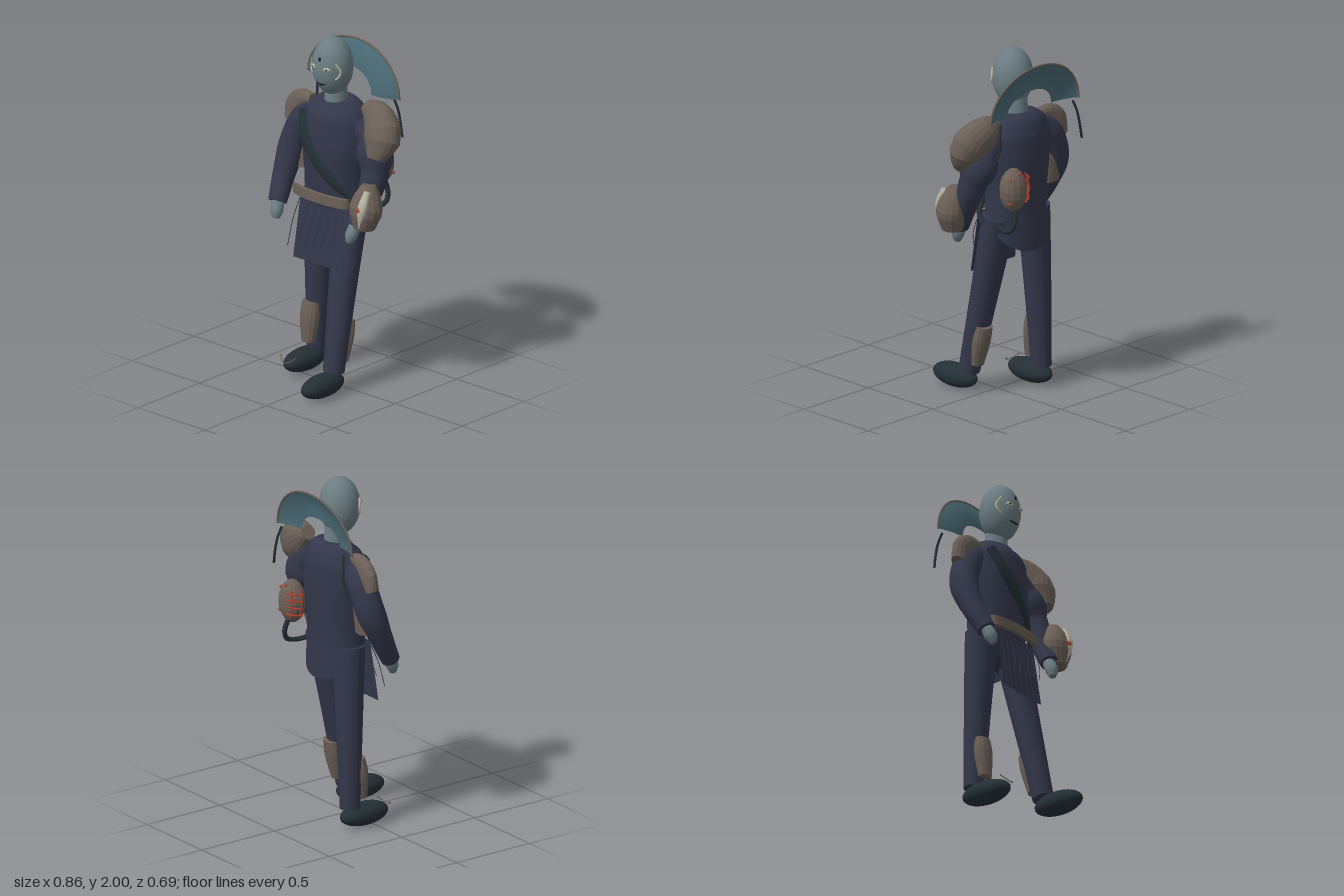
import * as THREE from 'three';

const V = (p) => new THREE.Vector3(...p);
const mat = (color, flatShading = false) =>
  new THREE.MeshStandardMaterial({ color, flatShading, side: THREE.DoubleSide });
const navy = mat(0x33374a), skin = mat(0x6b7d83), dark = mat(0x243036), teal = mat(0x4a6a75);
const brown = mat(0x6b6057), armour = mat(0x6b6057, true), cream = mat(0xb8b4a4), red = mat(0xb0402c), black = mat(0x16191d);
const CX = -0.04; // body centre line

// Elliptical rings swept through stations [x, y, z, ru, rv], closed at both ends
function loft(stations, seg = 24, steps = 24) {
  const path = new THREE.CatmullRomCurve3(stations.map((s) => V(s.slice(0, 3))));
  const size = new THREE.CatmullRomCurve3(stations.map((s) => V([s[3], s[4] ?? s[3], 0])));
  const pos = [], idx = [], ref = V([0, 0, 1]);
  for (let i = 0; i <= steps; i++) {
    const c = path.getPoint(i / steps), r = size.getPoint(i / steps), t = path.getTangent(i / steps);
    const u = t.clone().cross(ref).normalize(), v = u.clone().cross(t);
    for (let j = 0; j <= seg; j++) {
      const a = (j / seg) * Math.PI * 2;
      const p = c.clone().addScaledVector(u, Math.cos(a) * r.x).addScaledVector(v, Math.sin(a) * r.y);
      pos.push(p.x, p.y, p.z);
    }
  }
  const w = seg + 1;
  for (let i = 0; i < steps; i++) for (let j = 0; j < seg; j++) {
    const a = i * w + j, b = a + w;
    idx.push(a, b, a + 1, a + 1, b, b + 1);
  }
  // end caps with their own vertices
  for (const end of [0, 1]) {
    const from = end * steps * w, base = pos.length / 3;
    for (let j = 0; j < w; j++) pos.push(...pos.slice((from + j) * 3, (from + j) * 3 + 3));
    const c = path.getPoint(end);
    pos.push(c.x, c.y, c.z);
    for (let j = 0; j < seg; j++)
      idx.push(base + w, base + j + end, base + j + 1 - end);
  }
  const g = new THREE.BufferGeometry();
  g.setAttribute('position', new THREE.Float32BufferAttribute(pos, 3));
  g.setIndex(idx);
  g.computeVertexNormals();
  return g;
}

const tube = (pts, r, n = 20) =>
  new THREE.TubeGeometry(new THREE.CatmullRomCurve3(pts.map(V)), n, r, 8);

// Surface from a rule (u, v in 0..1) -> [x, y, z]
function sheet(nu, nv, rule) {
  const g = new THREE.PlaneGeometry(1, 1, nu, nv), p = g.attributes.position;
  for (let i = 0; i < p.count; i++) p.setXYZ(i, ...rule(p.getX(i) + 0.5, p.getY(i) + 0.5));
  g.computeVertexNormals();
  return g;
}

export function createModel() {
  const model = new THREE.Group();
  const add = (name, geometry, material, at = [0, 0, 0]) => {
    const m = new THREE.Mesh(geometry, material);
    m.name = name;
    m.position.set(...at);
    model.add(m);
    return m;
  };
  const ball = (name, at, scale, material, ws = 32, hs = 20) => {
    const m = add(name, new THREE.SphereGeometry(1, ws, hs), material, at);
    m.scale.set(...scale);
    return m;
  };

  // Head, face and neck
  ball('head', [CX, 1.835, -0.083], [0.115, 0.165, 0.115], skin);
  add('neck', new THREE.CylinderGeometry(0.06, 0.068, 0.13, 24), skin, [CX, 1.66, -0.11]);
  for (const s of [-1, 1]) {
    const eye = ball('eye', [CX + s * 0.049, 1.848, 0.02], [0.022, 0.012, 0.008], cream, 16, 10);
    eye.rotation.y = s * 0.45;
    ball('pupil', [CX + s * 0.049, 1.848, 0.026], [0.009, 0.005, 0.004], black, 12, 8);
    add('cheekStrip', tube([[CX + s * 0.085, 1.885, -0.01], [CX + s * 0.108, 1.84, -0.028],
      [CX + s * 0.102, 1.81, -0.022], [CX + s * 0.085, 1.79, -0.012]], 0.006), cream);
  }
  add('mouth', tube([[CX - 0.032, 1.757, 0.01], [CX, 1.75, 0.019], [CX + 0.032, 1.757, 0.01]], 0.005), black);
  add('browMark', new THREE.BoxGeometry(0.012, 0.026, 0.008), black, [CX, 1.895, 0.022]);

  // Torso and legs
  add('torso', loft([[CX, 1.03, -0.108, 0.195, 0.132], [CX, 1.2, -0.107, 0.195, 0.144], [CX, 1.4, -0.11, 0.212, 0.154],
    [CX, 1.53, -0.118, 0.208, 0.146], [CX, 1.595, -0.12, 0.172, 0.122], [CX, 1.638, -0.115, 0.112, 0.082]], 36, 30), navy);
  add('hips', loft([[CX, 0.92, -0.11, 0.14, 0.07], [CX, 1, -0.105, 0.19, 0.1], [CX, 1.1, -0.1, 0.19, 0.115]], 32, 8), navy);
  add('leftLeg', loft([[0.085, 1.06, -0.105, 0.105, 0.09], [0.098, 0.7, -0.03, 0.088, 0.078], [0.125, 0.12, 0.09, 0.06]]), navy);
  add('rightLeg', loft([[-0.165, 1.06, -0.115, 0.1, 0.088], [-0.183, 0.7, -0.125, 0.083, 0.076], [-0.208, 0.12, -0.137, 0.057]]), navy);
  ball('leftFoot', [0.134, 0.07, 0.19], [0.073, 0.066, 0.157], dark);
  ball('rightFoot', [-0.213, 0.07, -0.045], [0.073, 0.066, 0.157], dark);
  add('toeWire', tube([[-0.27, 0.12, 0.09], [-0.245, 0.1, 0.11], [-0.21, 0.09, 0.122], [-0.18, 0.1, 0.11], [-0.16, 0.12, 0.088]], 0.003), brown);

  // Tunic tail round the back, its hem rising towards the sides
  add('tunicTail', sheet(32, 6, (u, v) => {
    const a = Math.PI * u, s = Math.sin(a), r = 1.03 - 0.03 * v;
    return [CX + 0.198 * r * Math.cos(a), 1.08 * v + (1.01 - 0.15 * s) * (1 - v), -0.1 - 0.145 * r * s];
  }), navy);

  // Shin and calf plates
  add('rightShinPlate', loft([[-0.2, 0.402, -0.085, 0.054, 0.04], [-0.204, 0.32, -0.076, 0.062, 0.047],
    [-0.205, 0.17, -0.062, 0.042, 0.034]], 14, 6), armour);
  add('leftCalfPlate', loft([[0.118, 0.4, -0.022, 0.054, 0.038], [0.122, 0.32, -0.004, 0.06, 0.044],
    [0.126, 0.17, 0.028, 0.042, 0.033]], 14, 6), armour);

  // Arms and hands
  add('rightArm', loft([[-0.2, 1.53, -0.12, 0.06], [-0.285, 1.45, -0.12, 0.08], [-0.345, 1.3, -0.1, 0.081],
    [-0.355, 1.15, -0.04, 0.066], [-0.335, 0.99, 0.045, 0.052]]), navy);
  add('leftArm', loft([[0.13, 1.53, -0.12, 0.06], [0.215, 1.45, -0.12, 0.08], [0.27, 1.3, -0.09, 0.08],
    [0.27, 1.15, -0.03, 0.066], [0.24, 1, 0.045, 0.05]]), navy);
  add('rightHand', loft([[-0.332, 1.01, 0.035, 0.034], [-0.322, 0.95, 0.065, 0.036], [-0.315, 0.905, 0.078, 0.02]], 16, 8), skin);
  add('leftHand', loft([[0.242, 1.01, 0.035, 0.034], [0.236, 0.95, 0.065, 0.036], [0.228, 0.905, 0.078, 0.02]], 16, 8), skin);

  // Shoulder armour
  add('leftPauldron', loft([[0.155, 1.63, -0.15, 0.042], [0.24, 1.587, -0.14, 0.102, 0.077],
    [0.315, 1.51, -0.1, 0.12, 0.092], [0.315, 1.382, -0.045, 0.056, 0.048]], 18, 8), armour);
  add('rightPauldron', loft([[-0.215, 1.58, -0.112, 0.032], [-0.285, 1.57, -0.115, 0.052, 0.036],
    [-0.34, 1.52, -0.118, 0.068, 0.04], [-0.375, 1.43, -0.115, 0.045, 0.04]], 14, 7), armour);
  add('rightSidePlate', loft([[-0.3, 1.43, -0.12, 0.05, 0.03], [-0.3, 1.32, -0.12, 0.066, 0.045], [-0.3, 1.17, -0.11, 0.062, 0.04]], 14, 6), armour);

  // Left bracer with its pale spine and stud
  add('leftBracer', loft([[0.315, 1.25, 0.01, 0.038], [0.315, 1.2, 0.018, 0.07, 0.067], [0.312, 1.11, 0.032, 0.1, 0.085],
    [0.308, 1.0, 0.04, 0.06]], 16, 8), armour);
  add('bracerSpine', loft([[0.35, 1.23, 0.058, 0.018, 0.022], [0.345, 1.14, 0.098, 0.03, 0.022], [0.318, 1.02, 0.088, 0.014]], 12, 10), cream);
  ball('bracerStud', [0.335, 1.13, 0.108], [0.02, 0.02, 0.014], red, 16, 12);

  // Sash across the chest, ending in a cord round the hip
  add('sash', loft([[-0.2, 1.555, -0.025, 0.038, 0.018], [-0.14, 1.43, 0.022, 0.047, 0.018], [-0.04, 1.295, 0.038, 0.041, 0.016],
    [0.06, 1.195, 0.022, 0.03, 0.015], [0.135, 1.125, -0.02, 0.016, 0.014]], 16, 30), dark);
  add('hipCord', tube([[0.12, 1.135, -0.01], [0.19, 1.08, -0.05], [0.215, 1.04, -0.1]], 0.013), dark);

  // Belt: a crescent plate over the front of the waist
  const crescent = new THREE.Shape();
  crescent.moveTo(-0.205, -0.015);
  crescent.quadraticCurveTo(0, 0.045, 0.205, -0.015);
  crescent.quadraticCurveTo(0.205, 0.01, 0.165, 0.02);
  crescent.quadraticCurveTo(0, 0.06, -0.165, 0.02);
  crescent.quadraticCurveTo(-0.205, 0.01, -0.205, -0.015);
  const belt = add('belt', new THREE.ExtrudeGeometry(crescent, { depth: 0.055, bevelEnabled: false, curveSegments: 16 }), brown, [CX, 1.12, 0.02]);
  belt.rotation.x = Math.PI / 2;

  // Pleated front cloth with hanging cords
  add('frontCloth', sheet(56, 8, (u, v) => [CX + 0.01 + (u - 0.5) * (0.345 - 0.02 * v), 0.705 + 0.36 * v,
    0.06 - 0.05 * v + 0.002 * Math.cos(u * Math.PI * 14)]), navy);
  for (let i = 0; i < 5; i++) {
    const x = -0.118 + i * 0.056;
    add('clothCord', tube([[x, 1.04, 0.03], [x + 0.004, 0.98, 0.055], [x, 0.9, 0.08], [x - 0.025, 0.82, 0.095]], 0.002), navy);
  }
  add('sideCord', tube([[-0.2, 1.04, 0.01], [-0.205, 0.93, 0.06], [-0.21, 0.78, 0.1]], 0.002), dark);

  // Crest: an arched fan behind the head, leaning back
  const crest = (a, k) => [CX + Math.cos(a) * (0.17 + 0.17 * k), 1.667 + Math.sin(a) * (0.12 + 0.15 * k),
    -0.21 - 0.043 * k * k - 0.025 * Math.sin(a) ** 2];
  add('crest', sheet(48, 8, (u, v) => crest(Math.PI * (1 - u), v)), teal);
  const rim = [];
  for (let i = 0; i <= 16; i++) rim.push(crest((Math.PI * i) / 16, 1));
  add('crestRim', tube(rim, 0.006, 64), brown);
  for (const s of [-1, 1])
    add('crestPendant', tube([[CX + s * 0.28, 1.665, -0.27], [CX + s * 0.3, 1.6, -0.283],
      [CX + s * 0.31, 1.53, -0.292], [CX + s * 0.338, 1.44, -0.28]], 0.007), dark);

  // Back pack with red frame, studs and a hose
  ball('backPack', [0.143, 1.262, -0.27], [0.082, 0.125, 0.073], armour, 14, 10);
  for (const [x, z] of [[0.04, -0.278], [0.07, -0.318]])
    add('packRail', tube([[x + 0.02, 1.345, z], [x, 1.27, z - 0.004], [x + 0.02, 1.185, z]], 0.005), red);
  for (let i = 0; i < 4; i++) {
    const y = 1.205 + i * 0.04;
    add('packRung', tube([[0.04, y, -0.275], [0.07, y, -0.318], [0.115, y, -0.333]], 0.005), red);
  }
  for (const [x, y, z] of [[0.2, 1.335, -0.305], [0.205, 1.2, -0.308], [0.14, 1.36, -0.315]])
    ball('packStud', [x, y, z], [0.009, 0.009, 0.009], red, 12, 8);
  add('packHose', tube([[0.15, 1.17, -0.285], [0.165, 1.09, -0.305], [0.175, 1.035, -0.285], [0.17, 1.015, -0.22], [0.13, 1.035, -0.13]], 0.014, 32), dark);

  return model;
}
